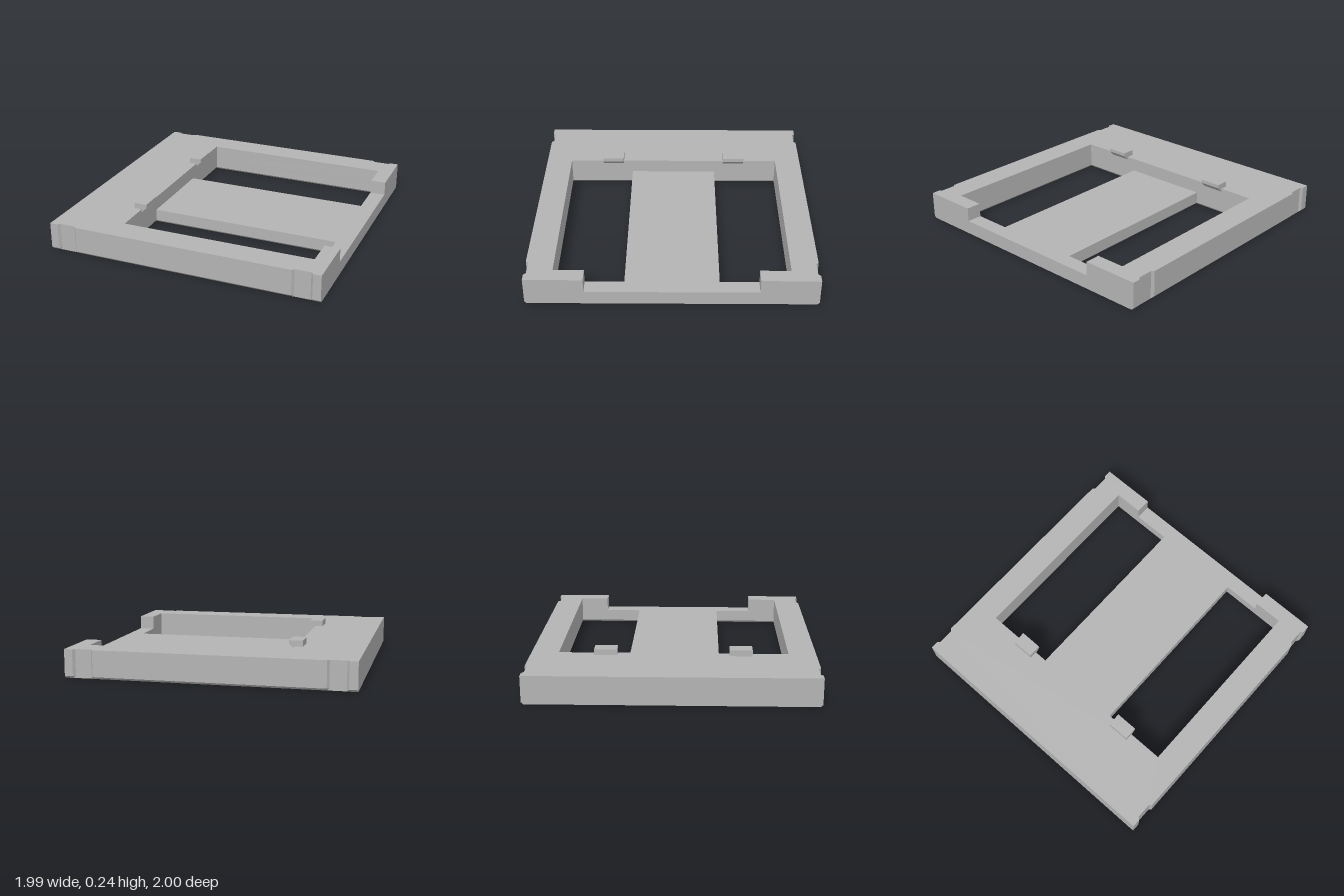
import * as THREE from 'three';
import { mergeGeometries } from 'three/addons/utils/BufferGeometryUtils.js';

const W = 0.996, D = 1;                  // half width and half depth of the tray
const TOP = 0.2, FLOOR = 0.1, CH = 0.015; // rim height, recessed floor, bottom chamfer
const X0 = -0.51, X1 = 0.885;            // window extent in x
const Z0 = 0.325, Z1 = 0.807;            // window extent in z
const GATE = 0.595;                      // half width of the opening in the right rim

// Vertical or sloped band between two matching loops of [x, z], counter-clockwise from above
function band(lo, y0, hi, y1) {
  const p = [];
  lo.forEach((a, i) => {
    const j = (i + 1) % lo.length;
    const A = [a[0], y0, a[1]], B = [lo[j][0], y0, lo[j][1]];
    const C = [hi[j][0], y1, hi[j][1]], E = [hi[i][0], y1, hi[i][1]];
    p.push(...A, ...B, ...C, ...A, ...C, ...E);
  });
  const g = new THREE.BufferGeometry();
  g.setAttribute('position', new THREE.Float32BufferAttribute(p, 3));
  return g;
}

// Flat horizontal face, facing up or down
function cap(loop, y, up, holes = []) {
  const s = up ? -1 : 1;
  const pts = (l) => l.map(([x, z]) => new THREE.Vector2(x, s * z));
  const shape = new THREE.Shape(pts(loop));
  shape.holes = holes.map((h) => new THREE.Path(pts(h)));
  const g = new THREE.ShapeGeometry(shape).rotateX(s * Math.PI / 2).translate(0, y, 0).toNonIndexed();
  g.deleteAttribute('uv');
  g.deleteAttribute('normal');
  return g;
}

// Window loop, wound clockwise from above so its walls face inwards
function windowLoop(side, grow) {
  const mid = side * (Z0 + Z1) / 2, h = (Z1 - Z0) / 2 + grow;
  const a = X0 - grow, b = X1 + grow;
  return [[a, mid - h], [b, mid - h], [b, mid + h], [a, mid + h]];
}

export function createModel() {
  const model = new THREE.Group();
  const grey = new THREE.MeshStandardMaterial({ color: 0xb4b4b4 });
  grey.name = 'grey plastic';

  // Front edge with two shallow trapezoid notches; the back edge mirrors it
  const n = D - 0.017;
  const half = [[0.795, D], [0.81, n], [0.922, n], [0.938, D], [W, D]];
  const front = [...half.map(([x, z]) => [-x, z]).reverse(), ...half];
  const back = front.map(([x, z]) => [x, -z]).reverse();
  const outline = [...front, ...back];
  const foot = outline.map(([x, z]) => [x, Math.sign(z) * Math.min(Math.abs(z), D - CH)]);

  // Raised C-shaped rim and the recessed floor inside it
  const rim = [...front,
    [W, GATE], [X1, GATE], [X1, Z1], [X0, Z1],
    [X0, -Z1], [X1, -Z1], [X1, -GATE], [W, -GATE], ...back];
  const floor = [[X0, Z0], [X1, Z0], [X1, GATE], [W, GATE],
    [W, -GATE], [X1, -GATE], [X1, -Z0], [X0, -Z0]];

  const parts = [
    cap(foot, 0, false, [windowLoop(1, CH), windowLoop(-1, CH)]),
    band(foot, 0, outline, CH),
    band(outline, CH, outline, FLOOR),
    band(rim, FLOOR, rim, TOP),
    cap(rim, TOP, true),
    cap(floor, FLOOR, true),
  ];
  for (const side of [1, -1]) {
    parts.push(band(windowLoop(side, CH), 0, windowLoop(side, 0), CH));
    parts.push(band(windowLoop(side, 0), CH, windowLoop(side, 0), FLOOR));
  }
  const trayGeo = mergeGeometries(parts);
  trayGeo.computeVertexNormals();
  const tray = new THREE.Mesh(trayGeo, grey);
  tray.name = 'tray';
  model.add(tray);

  // Two retaining clips overhanging the windows, with a sloped underside
  const profile = new THREE.Shape([
    [-0.566, TOP], [X0, TOP], [X0, 0.178], [-0.47, 0.217], [-0.47, 0.243], [-0.566, 0.243],
  ].map(([x, y]) => new THREE.Vector2(x, y)));
  const clipGeo = new THREE.ExtrudeGeometry(profile, { depth: 0.16, bevelEnabled: false });
  clipGeo.translate(0, 0, -0.08);
  for (const [name, z] of [['frontClip', 0.473], ['backClip', -0.473]]) {
    const clip = new THREE.Mesh(clipGeo, grey);
    clip.name = name;
    clip.position.z = z;
    model.add(clip);
  }
  return model;
}
